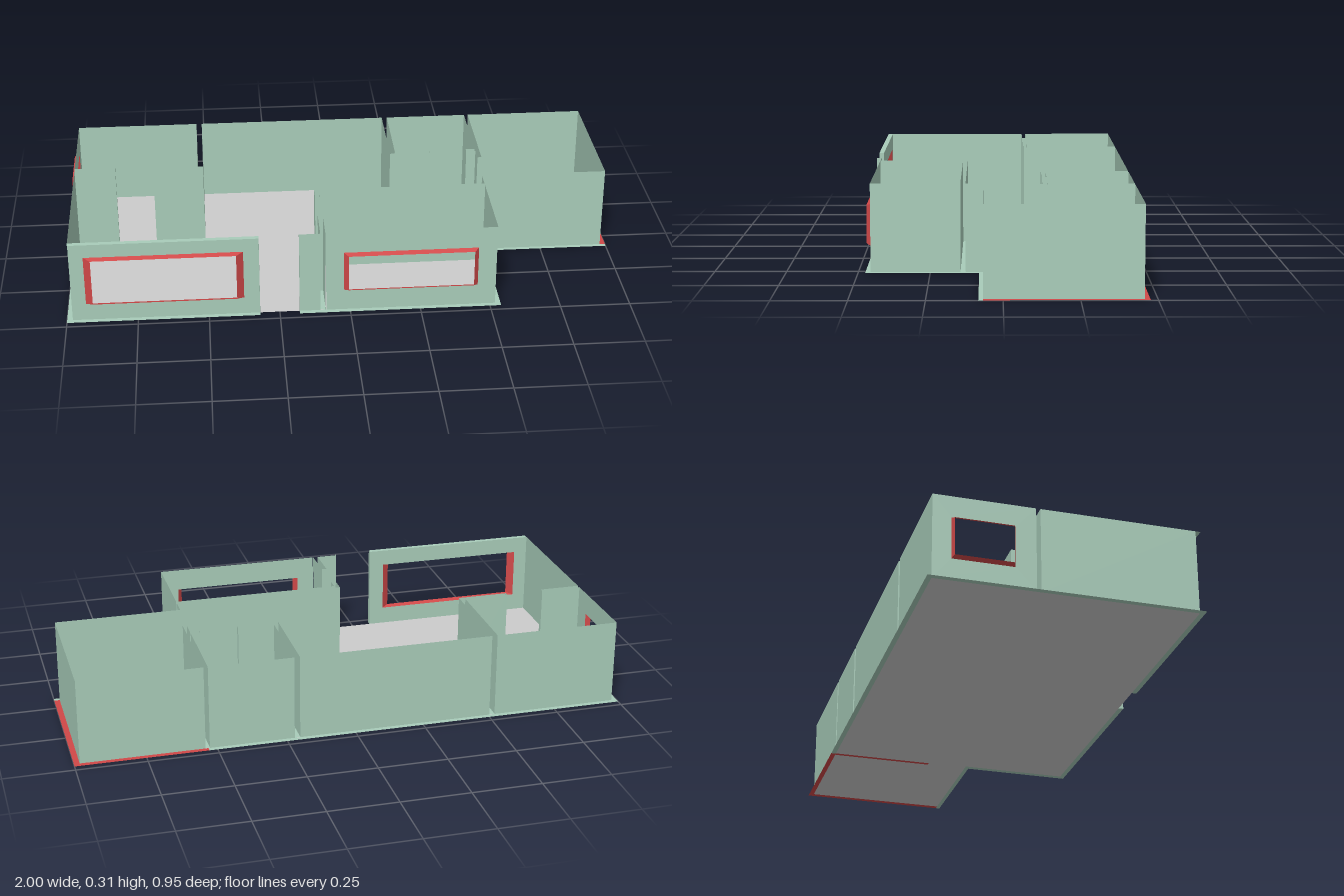
import * as THREE from 'three';

const H = 0.31;       // wall height
const T = 0.018;      // depth of the outer ledge
const material = (color) => new THREE.MeshStandardMaterial({ color, side: THREE.DoubleSide });

export function createModel() {
  const model = new THREE.Group();
  const grey = material(0xcccccc);
  const green = material(0xa8ccb9);
  const red = material(0xd04848);

  const add = (parent, name, geometry, mat) => {
    const mesh = new THREE.Mesh(geometry, mat);
    mesh.name = name;
    parent.add(mesh);
    return mesh;
  };

  // Strip of flat quads joining two point rows of equal length
  const stripGeometry = (rowA, rowB) => {
    const pos = [];
    for (let i = 0; i < rowA.length - 1; i++) {
      const [a, b, c, d] = [rowA[i], rowA[i + 1], rowB[i + 1], rowB[i]];
      pos.push(...a, ...b, ...c, ...a, ...c, ...d);
    }
    const g = new THREE.BufferGeometry();
    g.setAttribute('position', new THREE.Float32BufferAttribute(pos, 3));
    g.computeVertexNormals();
    return g;
  };

  // Upright sheet following [x, z] points
  const sheet = (name, points) => add(model, name, stripGeometry(
    points.map(([x, z]) => [x, 0, z]), points.map(([x, z]) => [x, H, z])), green);

  // Horizontal polygon from [x, z] points
  const flat = (name, points, y, mat) => {
    const shape = new THREE.Shape(points.map(([x, z]) => new THREE.Vector2(x, -z)));
    add(model, name, new THREE.ShapeGeometry(shape).rotateX(-Math.PI / 2).translate(0, y, 0), mat);
  };
  const flatRect = (name, x0, x1, z0, z1, mat, y = 0) =>
    flat(name, [[x0, z0], [x1, z0], [x1, z1], [x0, z1]], y, mat);

  // Wall sheet in local x/y with a window and a reveal tapering outward (+z)
  const windowWall = (name, u0, u1, [a, b, y0, y1], insetX, insetY) => {
    const group = new THREE.Group();
    group.name = name;
    const rect = (l, r, lo, hi) => [[l, lo], [r, lo], [r, hi], [l, hi], [l, lo]];
    const toPath = (Type, pts) => new Type(pts.map((p) => new THREE.Vector2(...p)));
    const shape = toPath(THREE.Shape, rect(u0, u1, 0, H));
    shape.holes.push(toPath(THREE.Path, rect(a, b, y0, y1)));
    add(group, 'wallPanel', new THREE.ShapeGeometry(shape), green);
    add(group, 'windowReveal', stripGeometry(
      rect(a, b, y0, y1).map(([x, y]) => [x, y, 0]),
      rect(a + insetX, b - insetX, y0 + insetY, y1 - insetY).map(([x, y]) => [x, y, T])), red);
    model.add(group);
    return group;
  };

  // Floor and the ledge around it
  flat('floor', [[-0.98, -0.457], [0.98, -0.457], [0.98, 0.065], [0.52, 0.065],
    [0.52, 0.457], [-0.98, 0.457]], 0, grey);
  flatRect('leftLedge', -1, -0.98, -0.475, 0.475, green);
  flatRect('backLedge', -0.98, 0.53, -0.475, -0.457, green);
  flatRect('frontLedge', -0.98, -0.32, 0.457, 0.475, green);
  flatRect('frontLedge', -0.18, 0.54, 0.457, 0.475, green);
  flatRect('sideLedge', 0.52, 0.54, 0.08, 0.457, green);
  flatRect('annexFrontLedge', 0.52, 1, 0.065, 0.08, green);
  flatRect('annexBackLedge', 0.53, 1, -0.475, -0.457, red);
  flatRect('annexSideLedge', 0.98, 1, -0.457, 0.065, red);

  // Outer walls, open where the hollow partitions meet them
  sheet('backWall', [[-0.98, -0.457], [-0.525, -0.457]]);
  sheet('backWall', [[-0.505, -0.457], [0.2, -0.457]]);
  sheet('backWall', [[0.22, -0.457], [0.525, -0.457]]);
  sheet('annexWall', [[0.54, -0.457], [0.98, -0.457], [0.98, 0.065], [0.52, 0.065], [0.52, 0.127]]);
  sheet('sideWall', [[0.52, 0.145], [0.52, 0.457]]);
  sheet('leftWall', [[-0.98, -0.09], [-0.98, 0.457]]);
  sheet('entranceWall', [[-0.18, 0.475], [-0.18, 0.457], [-0.105, 0.457]]);
  sheet('doorJamb', [[-0.32, 0.457], [-0.32, 0.475]]);
  flatRect('wallCap', -0.98, -0.32, 0.457, 0.475, green, H);

  // Outer walls with windows
  windowWall('frontLeftWindowWall', -0.98, -0.32, [-0.93, -0.375, 0.065, 0.25], 0.025, 0.006)
    .position.z = 0.457;
  windowWall('frontRightWindowWall', -0.085, 0.52, [-0.022, 0.455, 0.08, 0.23], 0.016, 0.007)
    .position.z = 0.457;
  const sideWindow = windowWall('sideWindowWall', -0.457, -0.105, [-0.392, -0.177, 0.08, 0.23], 0.007, 0.007);
  sideWindow.rotation.y = -Math.PI / 2;
  sideWindow.position.x = -0.98;

  // Hollow partitions: open outlines starting and ending at an outer wall
  const partitions = [
    [[-0.525, -0.457], [-0.525, -0.105], [-0.69, -0.105], [-0.69, -0.09], [-0.505, -0.09], [-0.505, -0.457]],
    [[-0.98, -0.105], [-0.83, -0.105], [-0.83, -0.09], [-0.98, -0.09]],
    [[0.22, -0.457], [0.22, -0.157], [0.352, -0.157], [0.352, -0.14], [0.2, -0.14], [0.2, -0.457]],
    [[0.525, -0.457], [0.525, -0.157], [0.49, -0.157], [0.49, -0.14], [0.525, -0.14],
      [0.525, -0.085], [0.54, -0.085], [0.54, -0.457]],
    [[0.52, 0.127], [-0.105, 0.127], [-0.105, 0.187], [-0.087, 0.187], [-0.087, 0.145], [0.52, 0.145]],
    [[-0.105, 0.457], [-0.105, 0.325], [-0.087, 0.325], [-0.087, 0.457]],
  ];
  for (const outline of partitions) {
    sheet('partition', outline);
    flat('partitionBase', outline, 0.001, green);
  }
  // Underside strip below the annex partition
  flatRect('partitionUnderside', 0.525, 0.54, -0.457, -0.085, red, -0.001);

  return model;
}
